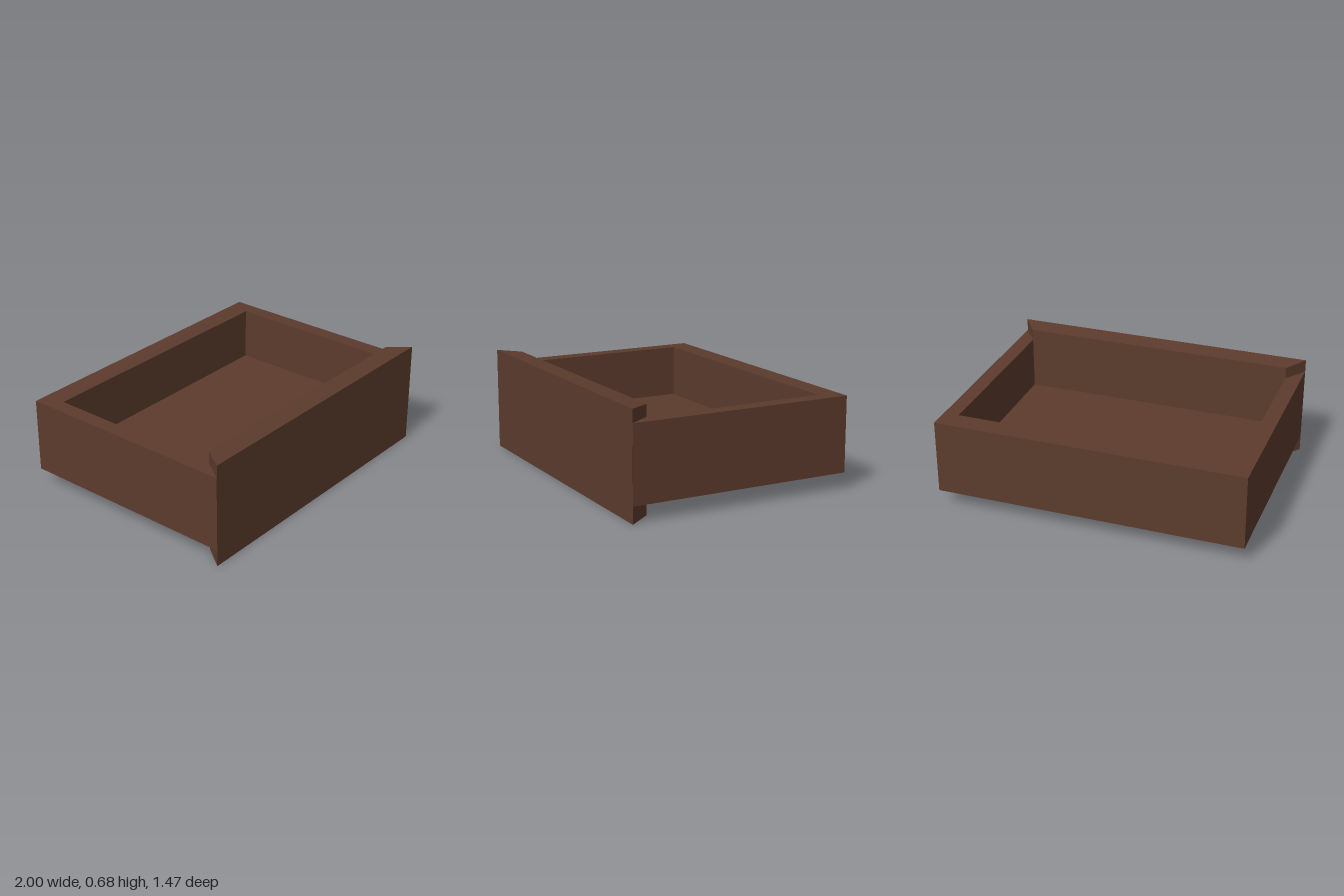
import * as THREE from 'three';

export function createModel() {
  const group = new THREE.Group();
  group.name = 'drawer';
  const wood = new THREE.MeshStandardMaterial({ color: 0x5c3b2d });
  wood.name = 'dark brown wood';

  const add = (name, geometry, x = 0, y = 0, z = 0) => {
    const mesh = new THREE.Mesh(geometry, wood);
    mesh.name = name;
    mesh.position.set(x, y, z);
    group.add(mesh);
  };

  const bottom = 0.107, rim = 0.592, floorTop = 0.245;
  const innerX = 0.9, innerZ = 0.592, backZ = -0.734, frontZ = 0.733;

  // Side and back walls: a U-shaped plan, extruded upward (plan y is -z)
  const plan = new THREE.Shape([
    [-1, 0.731], [-1, backZ], [1, backZ], [1, 0.731],
    [innerX, 0.731], [innerX, -innerZ], [-innerX, -innerZ], [-innerX, 0.731],
  ].map(([x, z]) => new THREE.Vector2(x, -z)));
  const walls = new THREE.ExtrudeGeometry(plan, { depth: rim - bottom, bevelEnabled: false });
  walls.rotateX(-Math.PI / 2);
  add('sideAndBackWalls', walls, 0, bottom, 0);

  // Floor board
  add('floorBoard', new THREE.BoxGeometry(innerX * 2, floorTop - bottom, innerZ * 2),
    0, (floorTop + bottom) / 2, 0);

  // Front panel: taller than the walls and tapering toward its inner face
  const height = 0.675;
  const panel = new THREE.BoxGeometry(2, height, frontZ - innerZ);
  const p = panel.attributes.position;
  for (let i = 0; i < p.count; i++) {
    if (p.getZ(i) < 0) {
      p.setX(i, Math.sign(p.getX(i)) * innerX);
      p.setY(i, Math.sign(p.getY(i)) * (height / 2 - 0.008));
    }
  }
  panel.computeVertexNormals();
  add('frontPanel', panel, 0, height / 2, (frontZ + innerZ) / 2);

  return group;
}
